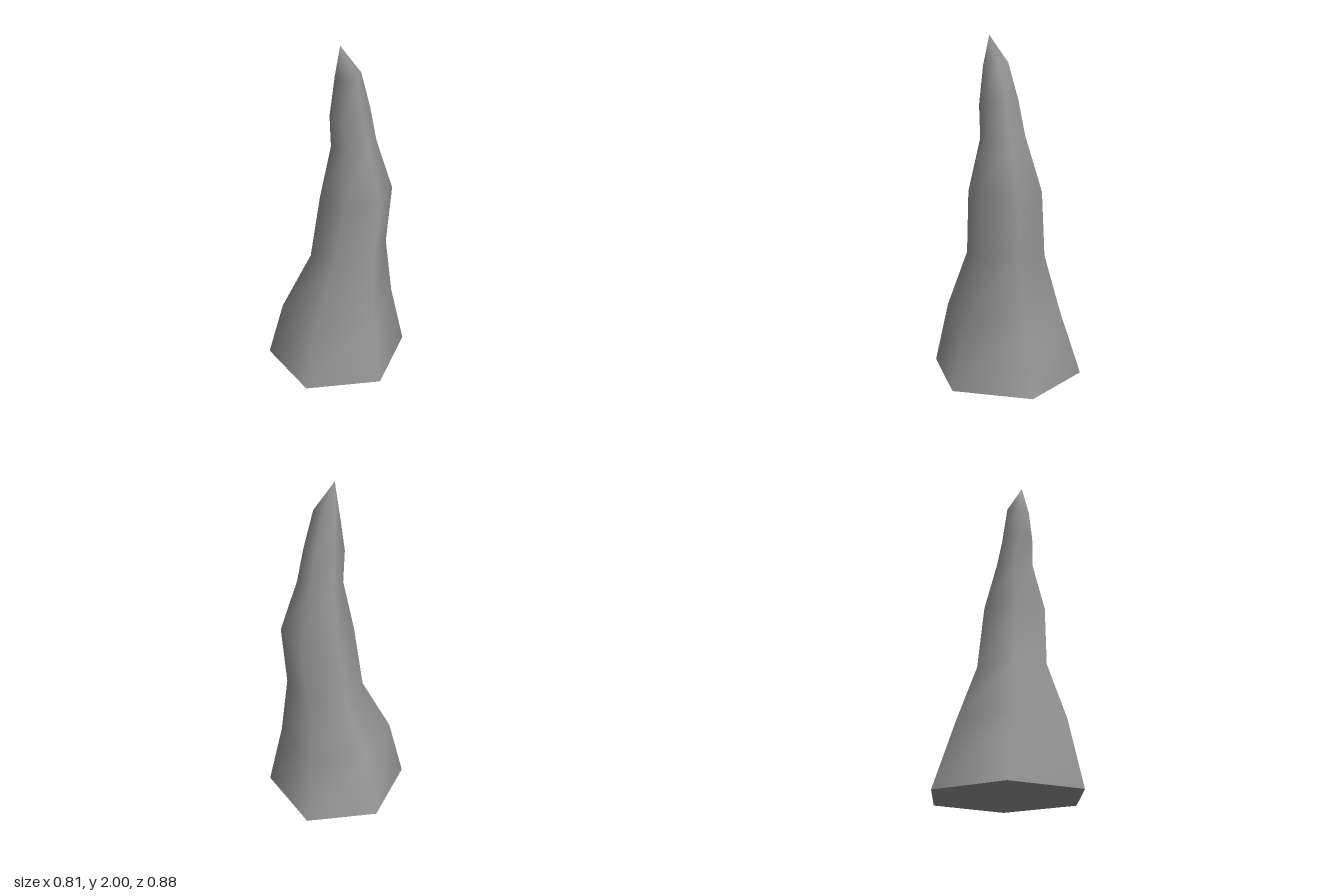
import * as THREE from 'three';

// Builds a geometry from a flat position list and triangle indices
function makeGeometry(points, index) {
  const geometry = new THREE.BufferGeometry();
  geometry.setAttribute('position', new THREE.Float32BufferAttribute(points.flat(), 3));
  geometry.setIndex(index);
  geometry.computeVertexNormals();
  return geometry;
}

// Six corners of a slightly tilted hexagon, starting at the front and turning towards +x
function hexRing({ y, left, right, back, front, tiltX = 0, tiltZ = 0 }) {
  const cx = (left + right) / 2, cz = (back + front) / 2;
  const rx = (right - left) / 2, rz = (front - back) / 2;
  return Array.from({ length: 6 }, (_, i) => {
    const u = Math.sin(i * Math.PI / 3) / Math.sin(Math.PI / 3);
    const v = Math.cos(i * Math.PI / 3);
    return [cx + rx * u, y + tiltX * u + tiltZ * v, cz + rz * v];
  });
}

export function createModel() {
  const stone = new THREE.MeshStandardMaterial({ color: 0x959595 });
  stone.name = 'stone grey';
  const group = new THREE.Group();
  group.name = 'stalagmite';

  // Uneven foot, then hexagonal rings that wander and narrow towards the tip
  const foot = [
    [-0.015, 0, 0.44], [0.397, 0, 0.215], [0.402, 0, -0.24],
    [0.015, 0, -0.445], [-0.37, 0, -0.235], [-0.403, 0, 0.2],
  ];
  const rings = [
    foot,
    ...[
      { y: 0.39, left: -0.305, right: 0.305, back: -0.325, front: 0.35, tiltX: 0.01, tiltZ: 0.015 },
      { y: 0.75, left: -0.15, right: 0.255, back: -0.175, front: 0.28, tiltX: 0.015, tiltZ: 0.025 },
      { y: 1.13, left: -0.11, right: 0.266, back: -0.12, front: 0.294, tiltX: 0.01, tiltZ: 0.008 },
      { y: 1.44, left: -0.055, right: 0.17, back: -0.045, front: 0.21, tiltX: 0.01 },
      { y: 1.63, left: -0.074, right: 0.13, back: -0.02, front: 0.184, tiltX: 0.015 },
      { y: 1.84, left: -0.047, right: 0.065, back: 0, front: 0.17, tiltX: 0.01 },
    ].map(hexRing),
  ];
  const tip = [-0.042, 2, 0.08];

  const index = [];
  const last = rings.length - 1;
  for (let r = 0; r <= last; r++) {
    for (let i = 0; i < 6; i++) {
      const a = r * 6 + i, b = r * 6 + (i + 1) % 6;
      if (r < last) index.push(a, b, b + 6, a, b + 6, a + 6);
      else index.push(a, b, rings.length * 6);
    }
  }
  const spire = new THREE.Mesh(makeGeometry([...rings.flat(), tip], index), stone);
  spire.name = 'spire';
  group.add(spire);

  // Flat underside with its own normals, so the foot edge stays sharp
  const fan = [];
  for (let i = 1; i < 5; i++) fan.push(0, i + 1, i);
  const underside = new THREE.Mesh(makeGeometry(foot, fan), stone);
  underside.name = 'underside';
  group.add(underside);

  return group;
}
